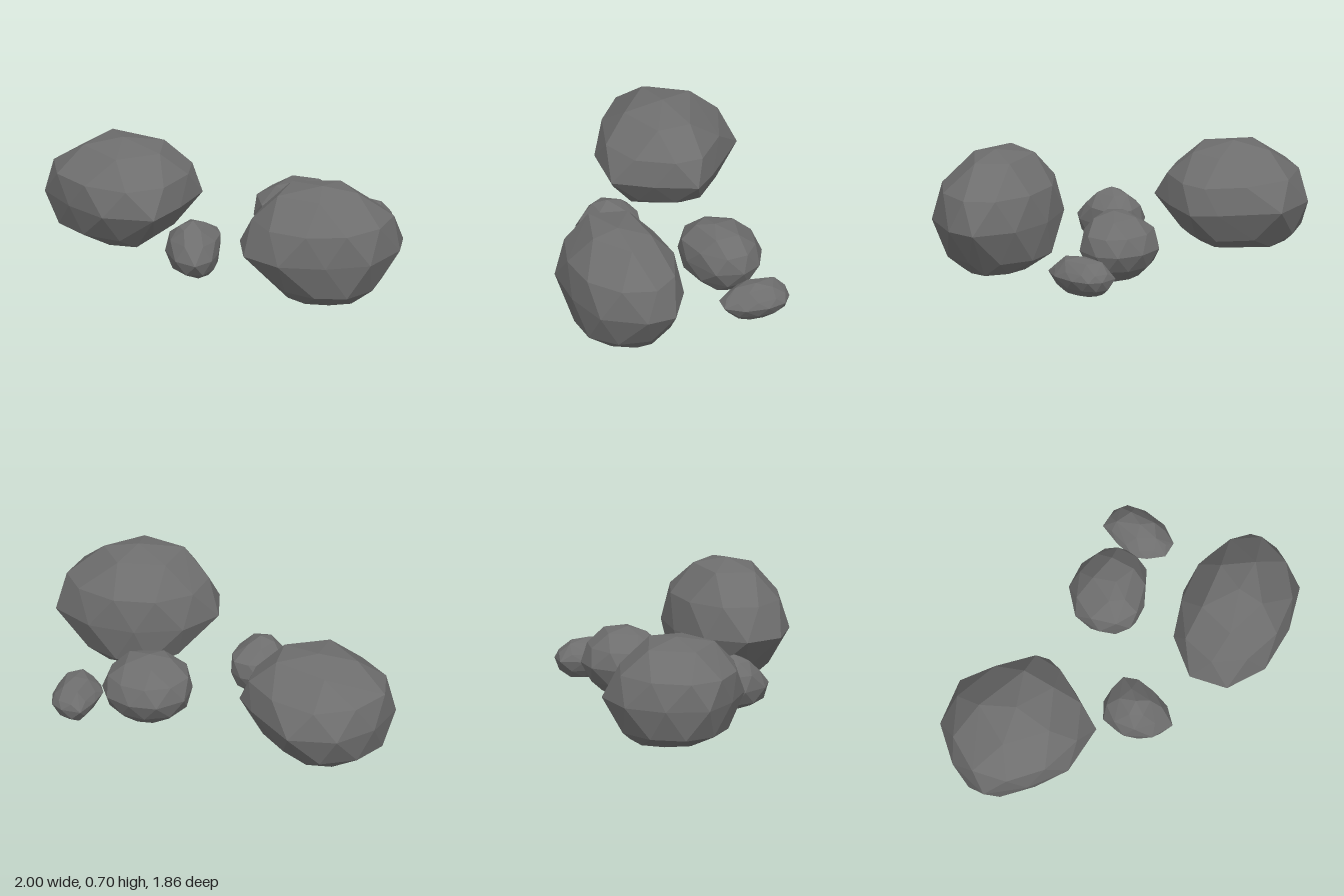
import * as THREE from 'three';
import { ConvexGeometry } from 'three/addons/geometries/ConvexGeometry.js';

// Stretch a loop of [x, z] points to fill the given box at height y.
function fitRing(loop, [y, x0, x1, z0, z1]) {
  const box = new THREE.Box2().setFromPoints(loop);
  const size = box.getSize(new THREE.Vector2());
  return loop.map((p) => new THREE.Vector3(
    x0 + (x1 - x0) * (p.x - box.min.x) / size.x,
    y,
    z0 + (z1 - z0) * (p.y - box.min.y) / size.y
  ));
}

// Faceted boulder: outline seen from above, levels [y, x0, x1, z0, z1] from the
// flat base to the crown, and a peak. Alternate levels are turned half a step.
function rock(name, material, outline, levels, peak) {
  const loop = outline.map(([x, z]) => new THREE.Vector2(x, z));
  const halfStep = loop.map((p, i) => p.clone().lerp(loop[(i + 1) % loop.length], 0.5));
  const points = [new THREE.Vector3(...peak)];
  levels.forEach((level, i) => {
    let ring = i % 2 ? halfStep : loop;
    if (i === levels.length - 1) ring = ring.filter((_, k) => k % 2 === 0); // sparse crown
    points.push(...fitRing(ring, level));
  });
  const mesh = new THREE.Mesh(new ConvexGeometry(points), material);
  mesh.name = name;
  return mesh;
}

export function createModel() {
  const group = new THREE.Group();
  group.name = 'rocks';
  const stone = new THREE.MeshStandardMaterial({ color: 0x6e6e6e });
  stone.name = 'grey stone';

  // Large boulder at the back
  group.add(rock('backBoulder', stone,
    [[-1, -0.58], [-0.86, -0.8], [-0.63, -0.93], [-0.34, -0.88], [-0.15, -0.55],
      [-0.09, -0.4], [-0.26, -0.2], [-0.45, -0.03], [-0.74, -0.13], [-0.9, -0.34]],
    [[0, -0.8, -0.33, -0.79, -0.23], [0.07, -0.93, -0.22, -0.87, -0.18],
      [0.25, -1, -0.09, -0.93, -0.03], [0.41, -0.95, -0.14, -0.86, -0.11],
      [0.555, -0.78, -0.3, -0.71, -0.27]],
    [-0.55, 0.6, -0.49]));

  // Largest boulder at the front
  group.add(rock('frontBoulder', stone,
    [[-0.04, 0.66], [-0.02, 0.43], [0.2, 0.28], [0.49, 0.27], [0.75, 0.37],
      [0.93, 0.57], [0.88, 0.74], [0.67, 0.93], [0.4, 0.93], [0.13, 0.85]],
    [[0, 0.23, 0.71, 0.41, 0.78], [0.09, 0.14, 0.79, 0.28, 0.91],
      [0.3, -0.04, 0.93, 0.27, 0.93], [0.49, 0.03, 0.86, 0.29, 0.92],
      [0.66, 0.17, 0.64, 0.43, 0.77]],
    [0.44, 0.7, 0.62]));

  // Medium stone
  group.add(rock('mediumStone', stone,
    [[0.17, -0.16], [0.23, -0.32], [0.4, -0.4], [0.56, -0.36], [0.68, -0.25],
      [0.7, -0.12], [0.61, 0.02], [0.38, 0.06], [0.23, 0.01]],
    [[0.015, 0.28, 0.58, -0.27, -0.03], [0.09, 0.21, 0.66, -0.35, 0.03],
      [0.19, 0.17, 0.7, -0.4, 0.06], [0.29, 0.2, 0.67, -0.35, 0.04],
      [0.375, 0.3, 0.57, -0.26, -0.04]],
    [0.42, 0.4, -0.12]));

  // Small flat stone on the left side
  group.add(rock('flatStone', stone,
    [[0.69, -0.08], [0.75, -0.19], [0.84, -0.3], [0.95, -0.26], [1, -0.19],
      [0.99, -0.08], [0.93, 0.05], [0.83, 0.13], [0.74, 0.1], [0.7, 0]],
    [[0.015, 0.77, 0.92, -0.22, 0.03], [0.06, 0.73, 0.97, -0.27, 0.08],
      [0.12, 0.69, 1, -0.3, 0.13], [0.16, 0.72, 0.98, -0.27, 0.09],
      [0.215, 0.78, 0.93, -0.22, 0.03]],
    [0.86, 0.235, -0.08]));

  // Small pointed stone between the boulders
  group.add(rock('smallStone', stone,
    [[-0.41, 0.12], [-0.34, -0.02], [-0.23, 0.045 - 0.09], [-0.12, 0], [-0.07, 0.07],
      [-0.11, 0.22], [-0.17, 0.33], [-0.28, 0.39], [-0.38, 0.29]],
    [[0.015, -0.32, -0.12, 0.04, 0.3], [0.05, -0.38, -0.1, 0, 0.34],
      [0.13, -0.41, -0.07, -0.04, 0.39], [0.22, -0.39, -0.08, -0.01, 0.31],
      [0.29, -0.33, -0.17, 0.06, 0.24]],
    [-0.25, 0.325, 0.16]));

  return group;
}
